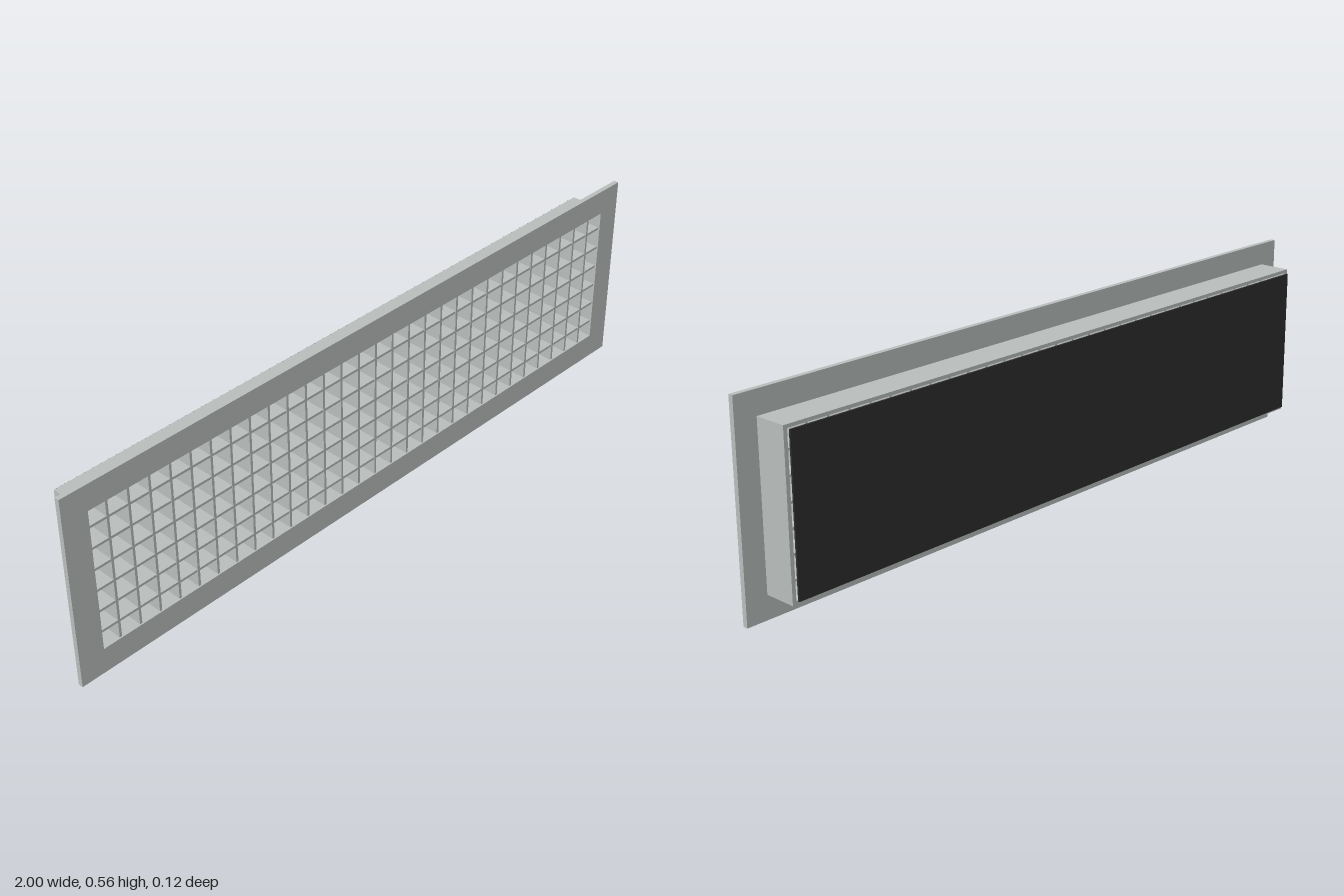
import * as THREE from 'three';

const HEIGHT = 0.556, MID = HEIGHT / 2;
const OPEN_W = 1.856, OPEN_H = 0.412; // clear opening
const PITCH = 0.0624, BAR = 0.007;

export function createModel() {
  const model = new THREE.Group();
  model.name = 'ventGrille';
  const metal = new THREE.MeshStandardMaterial({ color: 0xbabfbd });
  metal.name = 'light grey metal';
  const dark = new THREE.MeshStandardMaterial({ color: 0x2e2e2e });
  dark.name = 'dark backing';

  const add = (parent, name, geometry, material, x, y, z) => {
    const mesh = new THREE.Mesh(geometry, material);
    mesh.name = name;
    mesh.position.set(x, y, z);
    parent.add(mesh);
  };

  // Rectangular ring extruded from z0 to z1
  const ring = (name, w, h, z0, z1) => {
    const rect = (path, a, b) => path.moveTo(-a / 2, -b / 2).lineTo(a / 2, -b / 2)
      .lineTo(a / 2, b / 2).lineTo(-a / 2, b / 2).closePath();
    const shape = new THREE.Shape();
    rect(shape, w, h);
    const hole = new THREE.Path();
    rect(hole, OPEN_W, OPEN_H);
    shape.holes.push(hole);
    const geometry = new THREE.ExtrudeGeometry(shape, { depth: z1 - z0, bevelEnabled: false });
    add(model, name, geometry, metal, 0, MID, z0);
  };
  ring('frontFlange', 2, HEIGHT, 0.044, 0.058);
  ring('collar', 1.877, 0.43, -0.047, 0.044);

  // Egg-crate core: upright and level blades crossing
  const core = new THREE.Group();
  core.name = 'eggCrateCore';
  model.add(core);
  const z0 = -0.046, z1 = 0.054, depth = z1 - z0, zMid = (z0 + z1) / 2;
  const upright = new THREE.BoxGeometry(BAR, OPEN_H, depth);
  const level = new THREE.BoxGeometry(OPEN_W, BAR, depth - 0.001);
  for (let i = -14; i <= 14; i++) add(core, 'uprightBlade', upright, metal, i * PITCH, MID, zMid);
  for (let j = -2.5; j <= 2.5; j++) add(core, 'levelBlade', level, metal, 0, MID + j * PITCH, zMid);

  // Backing sheet just behind the collar
  add(model, 'backingSheet', new THREE.BoxGeometry(1.856, 0.41, 0.005), dark, 0, MID, -0.0555);
  return model;
}
